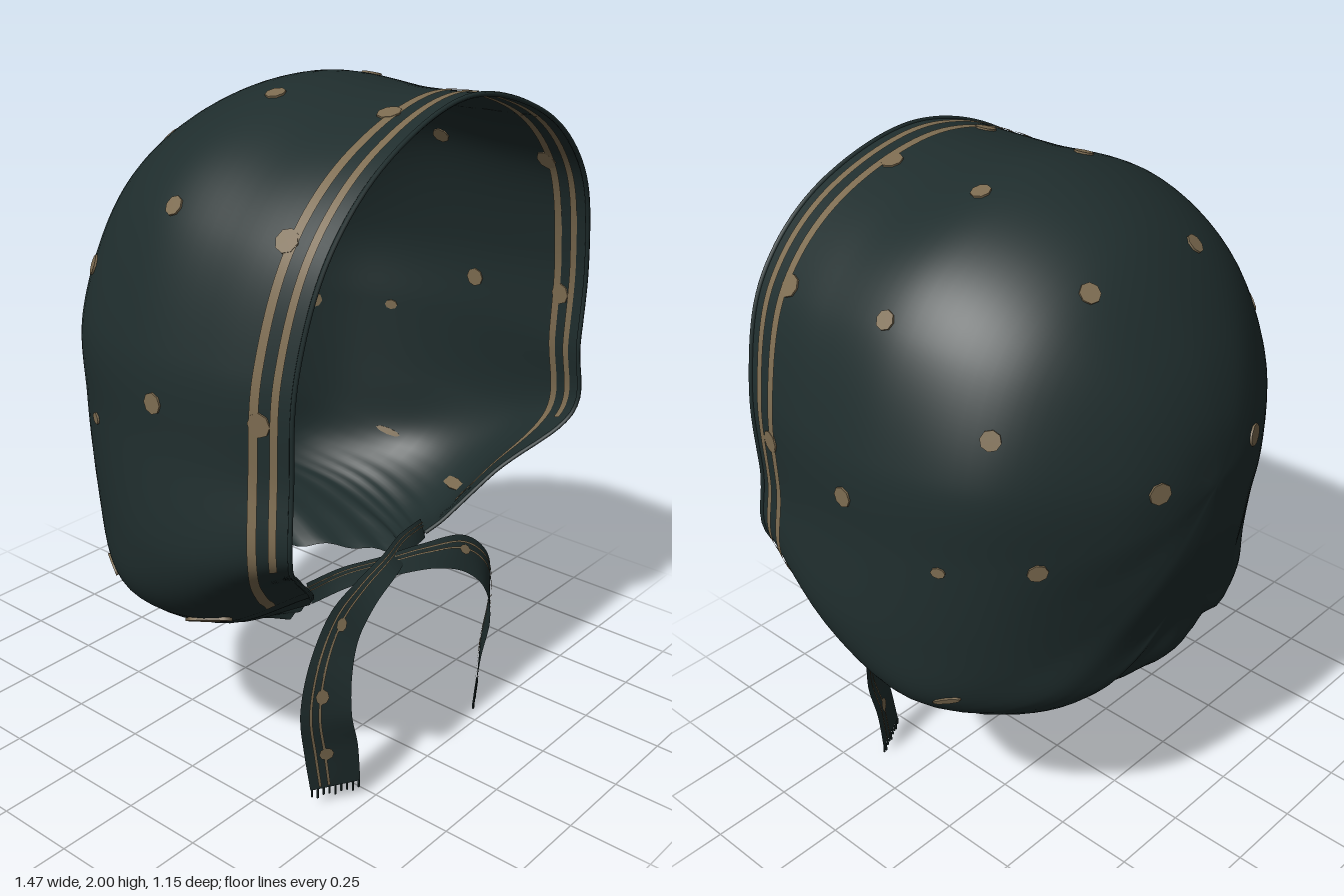
import * as THREE from 'three';
import { mergeVertices } from 'three/addons/utils/BufferGeometryUtils.js';

const V = (x, y, z) => new THREE.Vector3(x, y, z);

// Cross-sections of the left half, each running from the back of the head to the edge.
const crownSections = [
  [[0, 1.64, -.465], [0, 1.88, -.26], [0, 1.995, .02], [0, 1.985, .3], [0, 1.995, .56]],
  [[.17, 1.61, -.46], [.27, 1.81, -.27], [.34, 1.91, 0], [.35, 1.9, .3], [.34, 1.9, .57]],
  [[.28, 1.52, -.46], [.46, 1.66, -.27], [.56, 1.725, 0], [.575, 1.715, .3], [.56, 1.7, .565]],
  [[.33, 1.35, -.483], [.58, 1.39, -.28], [.68, 1.4, 0], [.685, 1.41, .28], [.65, 1.42, .545]],
  [[.33, 1.19, -.485], [.585, 1.15, -.28], [.7, 1.14, 0], [.705, 1.14, .28], [.655, 1.15, .535]],
];
const neckSections = [
  [[.33, 1.04, -.46], [.57, .92, -.28], [.715, .86, 0], [.73, .86, .25], [.655, .93, .53]],
  [[.32, .91, -.445], [.53, .77, -.3], [.67, .67, -.06], [.63, .66, .19], [.47, .76, .39]],
  [[.26, .84, -.46], [.43, .67, -.36], [.53, .565, -.13], [.45, .52, .11], [.27, .575, .27]],
  [[.14, .8, -.475], [.26, .65, -.42], [.36, .55, -.26], [.34, .495, -.04], [.27, .475, .14]],
  [[0, .79, -.48], [0, .66, -.46], [0, .58, -.39], [0, .515, -.3], [0, .47, -.22]],
];
const pole = V(0, 1.27, -.575);

function sectionCurve(points, side) {
  const pts = points.map(([x, y, z]) => V(x * side, y, z));
  const near = pole.clone().lerp(pts[0], .5);
  near.z = pole.z + (pts[0].z - pole.z) * .25;
  return new THREE.CatmullRomCurve3([pole, near, ...pts]);
}
const sections = [...crownSections, ...neckSections];
const curves = Array.from({ length: 18 }, (_, k) =>
  k <= 9 ? sectionCurve(sections[k], 1) : sectionCurve(sections[18 - k], -1));
const curveAt = (k) => curves[((k % 18) + 18) % 18];

// Point on the cloth: u is the section number (0 top, +-9 nape), v runs from back to edge.
function cloth(u, v) {
  const k = Math.floor(u), t = u - k;
  const w = [-.5 * t + t * t - .5 * t ** 3, 1 - 2.5 * t * t + 1.5 * t ** 3,
    .5 * t + 2 * t * t - 1.5 * t ** 3, -.5 * t * t + .5 * t ** 3];
  const p = V(0, 0, 0);
  w.forEach((f, i) => p.addScaledVector(curveAt(k - 1 + i).getPointAt(v), f));
  // gathers towards the neck
  const a = Math.abs(u);
  p.y += .008 * THREE.MathUtils.smoothstep(a, 5.8, 7.5) * v ** 4 * (Math.sin(a * 21) + .6 * Math.sin(a * 13));
  return p;
}
function clothNormal(u, v) {
  const e = .02, v0 = Math.max(v - e, .01), v1 = Math.min(v + e, 1);
  const dv = cloth(u, v1).sub(cloth(u, v0));
  return dv.cross(cloth(u + e, v).sub(cloth(u - e, v))).normalize();
}
function clothLength(u) {
  const k = Math.floor(u);
  return THREE.MathUtils.lerp(curveAt(k).getLength(), curveAt(k + 1).getLength(), u - k);
}

// Smooth sheet from a rule giving a point for (s, t) in 0..1.
function sheet(rule, ns, nt) {
  const pos = [], index = [];
  for (let i = 0; i <= ns; i++) for (let j = 0; j <= nt; j++) {
    pos.push(...rule(i / ns, j / nt).toArray());
    if (i < ns && j < nt) {
      const a = i * (nt + 1) + j, b = a + nt + 1;
      index.push(a, a + 1, b, b, a + 1, b + 1);
    }
  }
  let g = new THREE.BufferGeometry();
  g.setAttribute('position', new THREE.Float32BufferAttribute(pos, 3));
  g.setIndex(index);
  g = mergeVertices(g, 1e-5);
  g.computeVertexNormals();
  return g;
}

export function createModel() {
  const group = new THREE.Group();
  const fabric = new THREE.MeshStandardMaterial({ color: 0x1f2d2d, side: THREE.DoubleSide });
  fabric.name = 'dark teal cloth';
  const tan = new THREE.MeshStandardMaterial({ color: 0x7c6b50, side: THREE.DoubleSide });
  tan.name = 'tan print';
  const add = (geometry, material, name, parent = group) => {
    const m = new THREE.Mesh(geometry, material);
    m.name = name;
    parent.add(m);
    return m;
  };

  // Bonnet shell
  add(sheet((s, t) => cloth(-9 + 18 * s, t), 324, 40), fabric, 'bonnetShell');

  // Rolled hem around the face opening
  const hemPoints = [];
  for (let u = -7; u <= 7.001; u += .25) hemPoints.push(cloth(u, 1));
  add(new THREE.TubeGeometry(new THREE.CatmullRomCurve3(hemPoints), 140, .007, 6), fabric, 'faceHem');

  // Two printed stripes along the hem, on both faces; the inner one runs on under the cheek
  for (const [d0, d1, reach] of [[.037, .06, 5.1], [.093, .12, 6.5]]) for (const off of [.004, -.004]) {
    add(sheet((s, t) => {
      const u = reach * (2 * s - 1);
      const v = 1 - THREE.MathUtils.lerp(d1, d0, t) / clothLength(u);
      return cloth(u, v).addScaledVector(clothNormal(u, v), off);
    }, 140, 2), tan, 'hemStripe');
  }

  // Printed spots: x, y, z, radius, stretch along the cloth
  const samples = [];
  for (let u = 0; u <= 9; u += .05) for (let v = .05; v < .99; v += .01)
    samples.push({ u, v, p: cloth(u, v) });
  const spots = [
    [.2, 1.97, .075, .028, 1], [.21, 1.82, -.31, .029, 1], [.55, 1.74, .075, .027, 1],
    [.55, 1.53, -.28, .028, 1], [.21, 1.32, -.54, .031, 1.1], [.69, 1.27, .12, .029, 1],
    [.49, 1.14, -.37, .026, 1.1], [.66, 1.13, -.17, .016, 1.3],
    [.19, 1.97, .44, .032, 1], [.56, 1.72, .44, .032, 1], [.68, 1.29, .445, .032, 1],
    [.56, .61, .16, .021, 3.2], [.62, .69, -.16, .011, 4],
  ];
  for (const [x, y, z, r, stretch] of spots) {
    const target = V(x, y, z);
    let best = samples[0];
    for (const s of samples)
      if (s.p.distanceToSquared(target) < best.p.distanceToSquared(target)) best = s;
    for (const side of [1, -1]) {
      const u = best.u * side, n = clothNormal(u, best.v);
      const along = cloth(u, best.v + .01).sub(cloth(u, best.v - .01));
      along.addScaledVector(n, -along.dot(n)).normalize();
      const spot = add(new THREE.CylinderGeometry(r, r, .0095, 8), tan, 'spot');
      spot.quaternion.setFromRotationMatrix(
        new THREE.Matrix4().makeBasis(n.clone().cross(along), n, along));
      spot.scale.z = stretch;
      spot.position.copy(cloth(u, best.v));
    }
  }

  // Chin ties: each crosses under the chin and hangs on the other side
  for (const side of [1, -1]) {
    const tie = new THREE.Group();
    tie.name = side > 0 ? 'leftTie' : 'rightTie';
    group.add(tie);
    const lift = side > 0 ? 0 : .012, end = side > 0 ? .035 : .06;
    const path = new THREE.CatmullRomCurve3([
      V(-.27, .59, .26), V(-.14, .6, .29), V(0, .592 + lift, .33 + lift), V(.15, .58, .37), V(.29, .545, .405),
      V(.375, .46, .43), V(.4, .33, .435), V(.37, .19, .43), V(.35, end, .43)]);
    const width = new THREE.CatmullRomCurve3([
      V(0, .03, -.01), V(0, .022, -.022), V(.003, .02, -.028), V(.012, .027, -.03), V(.035, .04, -.027),
      V(.055, .025, -.032), V(.06, .008, -.043), V(.065, -.004, -.044), V(.066, 0, -.038)]);
    const at = (s, w, off = 0) => {
      const across = width.getPoint(s);
      const n = across.clone().cross(path.getTangent(s)).normalize();
      const p = path.getPoint(s).addScaledVector(across, w).addScaledVector(n, off);
      p.x *= side;
      return p;
    };
    add(sheet((s, t) => at(s, 2 * t - 1), 64, 4), fabric, 'ribbon', tie);
    for (const off of [.004, -.004]) {
      for (const w of [.2, .55])
        add(sheet((s, t) => at(s * .99, w + .11 * t, off), 64, 1), tan, 'ribbonStripe', tie);
      for (const s0 of [.5, .7, .88])
        add(sheet((s, t) => {
          const a = s * Math.PI * 2;
          return at(s0 + .021 * t * Math.cos(a), .2 + .28 * t * Math.sin(a), off * 1.15);
        }, 8, 1), tan, 'ribbonSpot', tie);
    }
    // Frayed end
    for (let i = 0; i < 9; i++) {
      const length = .024 + .008 * (i % 3 === 1);
      const thread = add(new THREE.BoxGeometry(.005, length, .004), fabric, 'fringeThread', tie);
      thread.position.copy(at(1, -.94 + i * .235));
      thread.position.y -= length / 2 - .002;
    }
  }
  return group;
}
